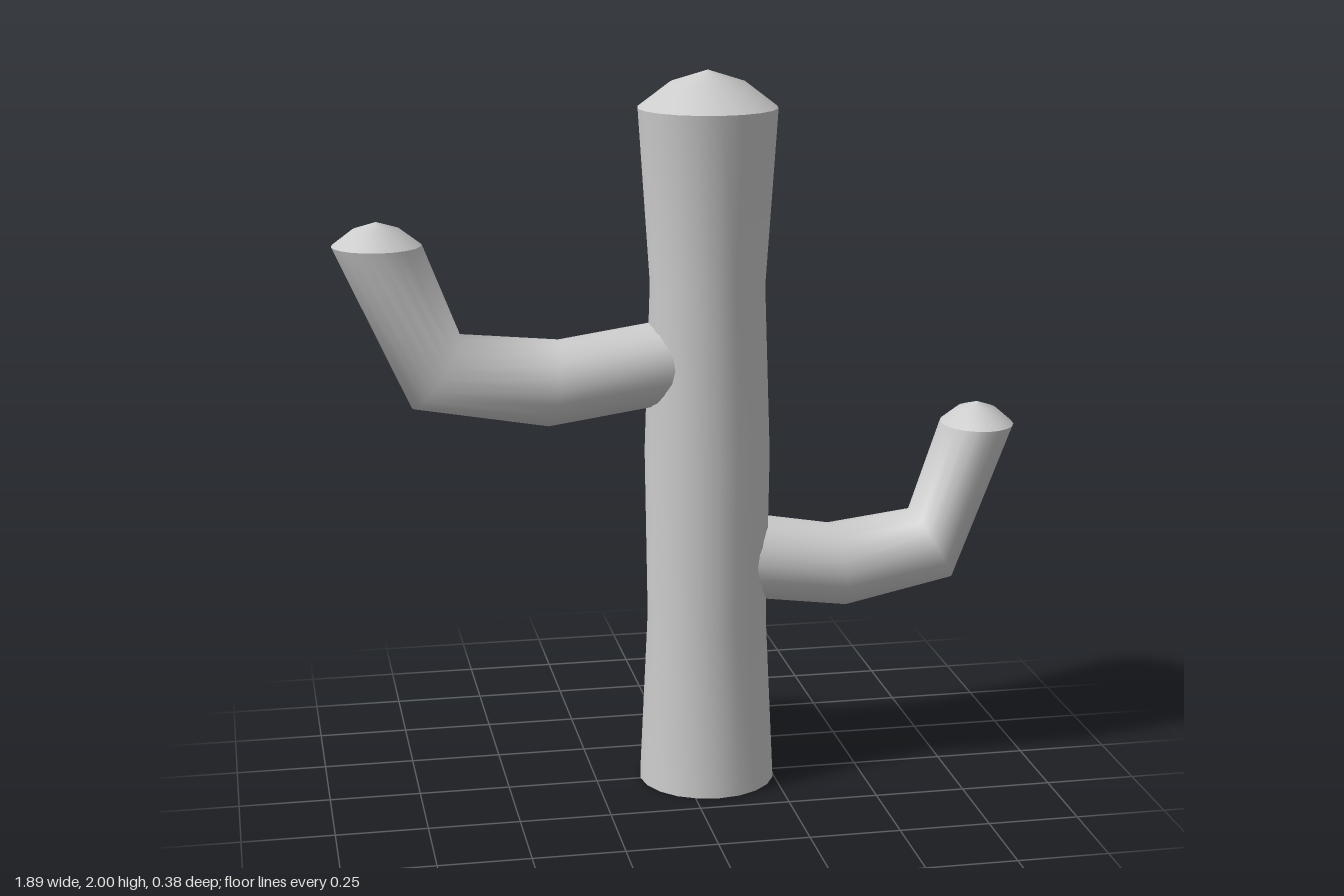
import * as THREE from 'three';

const SIDES = 20;
const material = new THREE.MeshStandardMaterial({ color: 0xcccccc, side: THREE.DoubleSide });

// Smooth tube through elliptical rings; each ring is [x1, y1, x2, y2, depth],
// the two ends of its in-plane diameter and its half depth along z.
function loft(name, rings, side = 1, z = 0) {
  const positions = [], index = [];
  rings.forEach(([x1, y1, x2, y2, depth], i) => {
    for (let j = 0; j < SIDES; j++) {
      const a = (j / SIDES) * Math.PI * 2, c = Math.cos(a) / 2;
      positions.push(
        (x1 + x2) / 2 + (x1 - x2) * c,
        (y1 + y2) / 2 + (y1 - y2) * c,
        z + side * Math.sin(a) * depth
      );
      if (i === 0) continue;
      const k = (j + 1) % SIDES, p = (i - 1) * SIDES, q = i * SIDES;
      index.push(p + j, p + k, q + j, p + k, q + k, q + j);
    }
  });
  const geometry = new THREE.BufferGeometry();
  geometry.setAttribute('position', new THREE.Float32BufferAttribute(positions, 3));
  geometry.setIndex(index);
  geometry.computeVertexNormals();
  const mesh = new THREE.Mesh(geometry, material);
  mesh.name = name;
  return mesh;
}

// A limb: open tube plus a low rounded cap, sharp at the rim
function limb(name, rings, capHeight, side, z) {
  const group = new THREE.Group();
  group.name = name;
  const [x1, y, x2, , depth] = rings[rings.length - 1];
  const cx = (x1 + x2) / 2, half = (x1 - x2) / 2;
  const capRings = [[1, 0], [0.53, 0.68], [0, 1]].map(([s, h]) => {
    const cy = y + h * capHeight;
    return [cx + half * s, cy, cx - half * s, cy, depth * s];
  });
  group.add(loft(name + 'Tube', rings, side, z), loft(name + 'Cap', capRings, side, z));
  return group;
}

export function createModel() {
  const model = new THREE.Group();
  model.name = 'cactus';

  // Trunk, slightly waisted, open underneath
  const trunkX = 0.065;
  const trunk = [[0, 0.19], [0.475, 0.167], [0.95, 0.174], [1.42, 0.158], [1.9, 0.19]]
    .map(([y, r]) => [trunkX - r, y, trunkX + r, y, r]);
  model.add(limb('trunk', trunk, 0.1, 1, 0));

  // Upper arm on the -x side
  model.add(limb('rightArm', [
    [0.0, 1.33, 0.0, 1.1, 0.12],
    [-0.34, 1.28, -0.38, 1.045, 0.12],
    [-0.61, 1.305, -0.745, 1.11, 0.12],
    [-0.707, 1.555, -0.946, 1.555, 0.12]
  ], 0.063, -1, 0));

  // Lower arm on the +x side
  model.add(limb('leftArm', [
    [0.13, 0.77, 0.13, 0.53, 0.12],
    [0.42, 0.72, 0.46, 0.487, 0.12],
    [0.653, 0.748, 0.768, 0.553, 0.12],
    [0.737, 0.997, 0.94, 0.997, 0.12]
  ], 0.06, 1, -0.005));

  return model;
}
